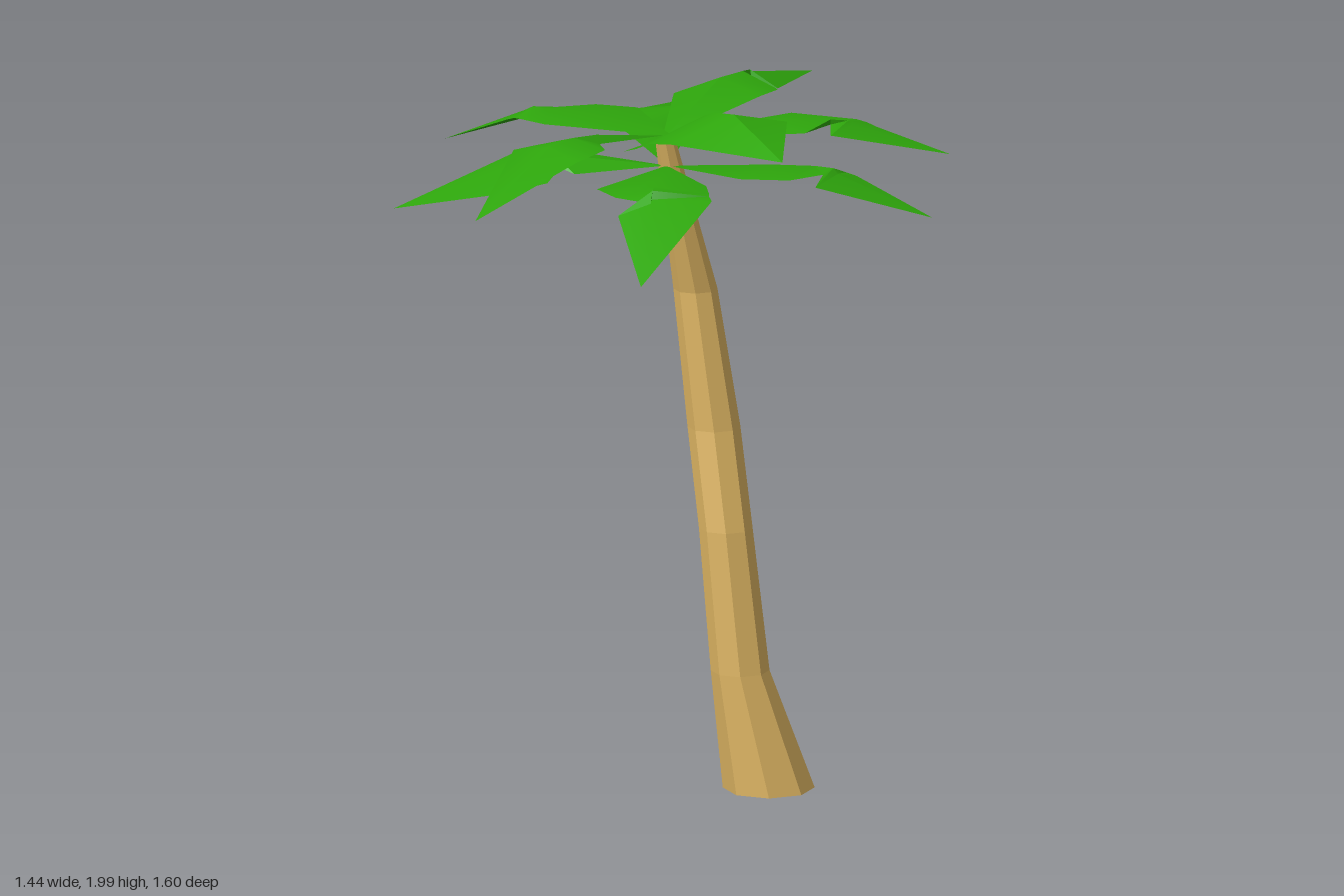
import * as THREE from 'three';
import { toCreasedNormals } from 'three/addons/utils/BufferGeometryUtils.js';

const bark = new THREE.MeshStandardMaterial({ color: 0xdcb462, flatShading: true });
const leaf = new THREE.MeshStandardMaterial({ color: 0x2ea60c, side: THREE.DoubleSide });

// Bent, tapering eight-sided trunk: rings of [x, y, z, radius]
function trunk() {
  const rings = [
    [0.212, 0.01, -0.18, 0.125], [0.16, 0.34, -0.122, 0.08], [0.105, 0.73, -0.122, 0.073],
    [0.042, 1.0, -0.14, 0.072], [-0.012, 1.38, -0.123, 0.06], [-0.01, 1.815, -0.006, 0.028],
  ];
  const n = rings.length - 1;
  const geo = new THREE.CylinderGeometry(1, 1, n, 8, n);
  const p = geo.attributes.position;
  for (let i = 0; i < p.count; i++) {
    const [x, y, z, r] = rings[Math.round(p.getY(i) + n / 2)];
    p.setXYZ(i, x + p.getX(i) * r, y, z + p.getZ(i) * r);
  }
  geo.computeVertexNormals();
  const mesh = new THREE.Mesh(geo, bark);
  mesh.name = 'trunk';
  return mesh;
}

// Folded frond: rows of [left x,y,z, right x,y,z]; a raised midrib runs straight from root to tip
function frond(name, root, rows, tip, fold) {
  const V = (a) => new THREE.Vector3(...a);
  const axis = new THREE.Line3(V([root[0], 0, root[2]]), V([tip[0], 0, tip[2]]));
  const sections = [[root, root, root].map(V)];
  for (const r of rows) {
    const l = V(r.slice(0, 3)), q = V(r.slice(3));
    const mid = l.clone().add(q).multiplyScalar(0.5);
    const rib = axis.closestPointToPoint(mid.clone().setY(0), true, new THREE.Vector3());
    sections.push([l, rib.setY(mid.y + fold), q]);
  }
  sections.push([tip, tip, tip].map(V));
  const pos = [];
  const tri = (a, b, c) => {
    if (a.equals(b) || b.equals(c) || a.equals(c)) return;
    for (const v of [a, b, c]) pos.push(v.x, v.y, v.z);
  };
  for (let i = 0; i < sections.length - 1; i++) {
    const s = sections[i], t = sections[i + 1];
    for (let k = 0; k < 2; k++) {
      tri(s[k], s[k + 1], t[k + 1]);
      tri(s[k], t[k + 1], t[k]);
    }
  }
  const geo = new THREE.BufferGeometry();
  geo.setAttribute('position', new THREE.Float32BufferAttribute(pos, 3));
  const mesh = new THREE.Mesh(toCreasedNormals(geo, 0.5), leaf);
  mesh.name = name;
  return mesh;
}

export function createModel() {
  const g = new THREE.Group();
  g.name = 'palmTree';
  g.add(trunk());

  const high = [-0.005, 1.835, 0], low = [-0.01, 1.745, -0.01];

  // Upper crown
  const upper = new THREE.Group();
  upper.name = 'upperFronds';
  upper.add(
    frond('backFrond', [-0.005, 1.82, 0.015], [
      [-0.27, 1.85, -0.3, 0.06, 1.9, -0.3],
      [-0.255, 1.845, -0.42, 0, 1.885, -0.43],
      [-0.25, 1.84, -0.44, -0.13, 1.88, -0.46],
      [-0.25, 1.84, -0.45, -0.05, 1.87, -0.48]], [-0.235, 1.83, -0.8], 0.05),
    frond('rightFrond', [0.02, 1.835, 0], [
      [-0.29, 1.845, 0.18, -0.27, 1.835, -0.16],
      [-0.4, 1.835, 0.155, -0.39, 1.83, -0.12],
      [-0.44, 1.83, 0.145, -0.43, 1.835, -0.01],
      [-0.47, 1.82, 0.14, -0.455, 1.82, -0.05]], [-0.72, 1.72, 0.13], 0.02),
    frond('frontFrond', [-0.015, 1.83, 0], [
      [0.04, 1.87, 0.3, -0.08, 1.845, 0.27],
      [0.14, 1.885, 0.38, -0.13, 1.85, 0.38],
      [0.17, 1.88, 0.52, -0.15, 1.845, 0.44]], [0.055, 1.745, 0.795], 0.03),
    frond('leftFrond', [0.01, 1.83, 0.015], [
      [0.32, 1.89, 0.02, 0.09, 1.85, 0.26],
      [0.28, 1.93, 0.09, 0.15, 1.87, 0.27],
      [0.38, 1.95, 0.02, 0.22, 1.9, 0.29],
      [0.52, 1.975, 0.06, 0.32, 1.92, 0.31]], [0.72, 1.935, 0.28], 0.05),
    frond('backLeftFrond', high, [
      [0.11, 1.85, -0.37, 0.26, 1.865, -0.08],
      [0.3, 1.855, -0.43, 0.34, 1.865, -0.19],
      [0.33, 1.85, -0.44, 0.32, 1.865, -0.31],
      [0.36, 1.84, -0.45, 0.38, 1.855, -0.25]], [0.56, 1.785, -0.53], 0.02),
  );

  // Lower crown
  const lower = new THREE.Group();
  lower.name = 'lowerFronds';
  lower.add(
    frond('backRightLowFrond', low, [
      [-0.37, 1.775, -0.17, -0.19, 1.755, -0.28],
      [-0.42, 1.78, -0.29, -0.26, 1.765, -0.36],
      [-0.43, 1.775, -0.33, -0.33, 1.765, -0.38],
      [-0.44, 1.77, -0.35, -0.26, 1.75, -0.43]], [-0.58, 1.715, -0.615], 0.015),
    frond('frontRightLowFrond', low, [
      [-0.12, 1.745, 0.235, -0.28, 1.76, 0.1],
      [-0.17, 1.755, 0.24, -0.34, 1.765, 0.13],
      [-0.13, 1.735, 0.33, -0.38, 1.755, 0.14],
      [-0.19, 1.715, 0.445, -0.415, 1.745, 0.15]], [-0.495, 1.64, 0.555], 0.025),
    frond('frontLeftLowFrond', low, [
      [0.27, 1.76, 0.12, 0.04, 1.745, 0.31],
      [0.35, 1.765, 0.19, 0.17, 1.755, 0.37],
      [0.37, 1.765, 0.21, 0.3, 1.76, 0.365],
      [0.4, 1.76, 0.23, 0.22, 1.72, 0.41]], [0.515, 1.61, 0.62], 0.025),
    frond('backLeftLowFrond', low, [
      [0.27, 1.745, -0.24, 0.28, 1.76, 0],
      [0.36, 1.75, -0.28, 0.4, 1.765, -0.07],
      [0.39, 1.745, -0.3, 0.42, 1.765, -0.18],
      [0.41, 1.735, -0.32, 0.45, 1.745, -0.12]], [0.66, 1.655, -0.36], 0.018),
  );

  g.add(upper, lower);
  return g;
}
